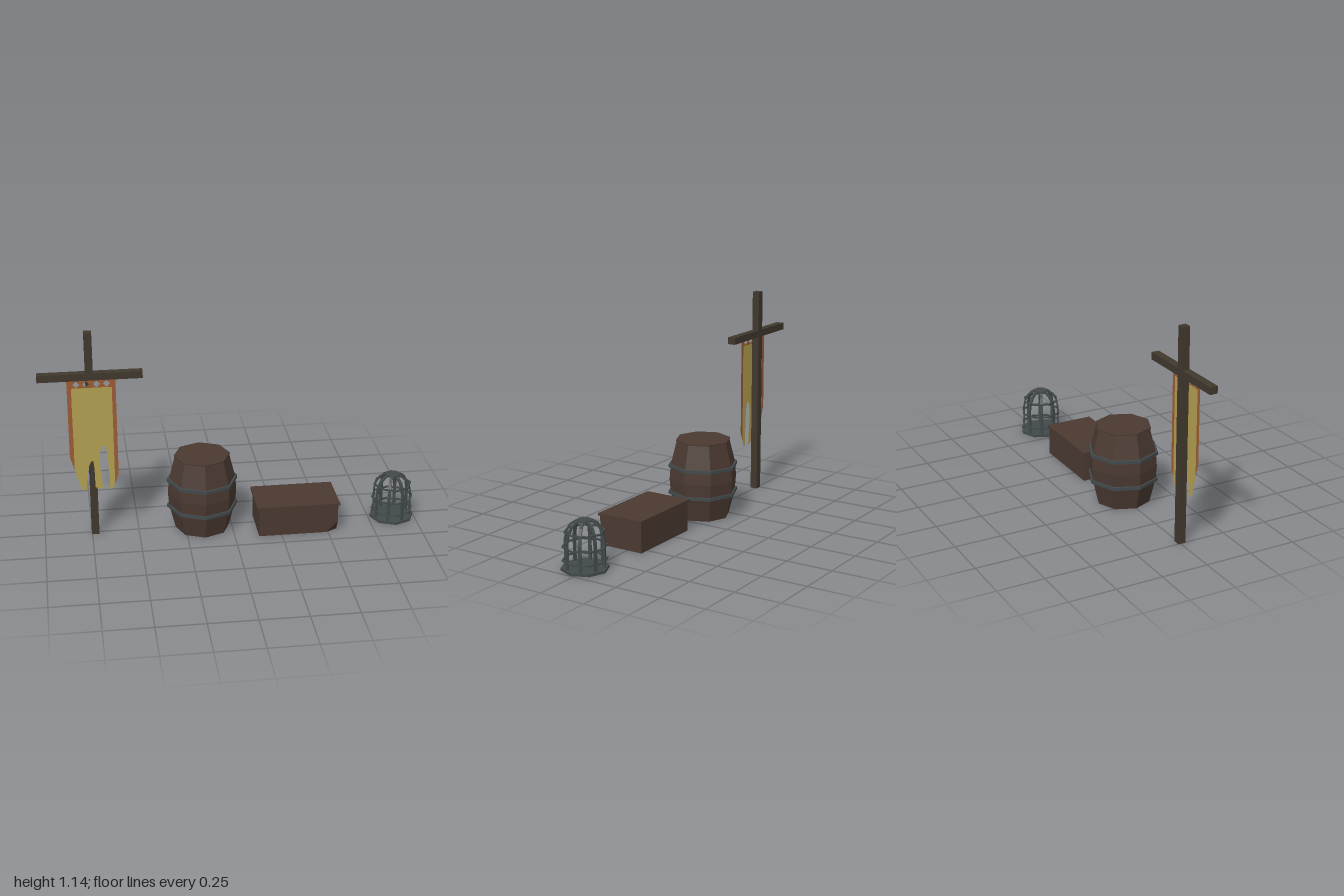
import * as THREE from 'three';
import { ConvexGeometry } from 'three/addons/geometries/ConvexGeometry.js';

const paint = (color, side = THREE.FrontSide) =>
  new THREE.MeshStandardMaterial({ color, side, flatShading: true });
const WOOD = paint(0x4a3931);
const POLE = paint(0x40382d);
const IRON = paint(0x42494b);
const GOLD = paint(0xb3a052, THREE.DoubleSide);
const TRIM = paint(0x9c5c34, THREE.DoubleSide);

function add(parent, name, geometry, material, x = 0, y = 0, z = 0) {
  const mesh = new THREE.Mesh(geometry, material);
  mesh.name = name;
  mesh.position.set(x, y, z);
  parent.add(mesh);
  return mesh;
}

function group(parent, name, x = 0, z = 0) {
  const g = new THREE.Group();
  g.name = name;
  g.position.set(x, 0, z);
  parent.add(g);
  return g;
}

const points = list => list.map(([x, y]) => new THREE.Vector2(x, y));
const lathe = profile => new THREE.LatheGeometry(points(profile), 8);

// Eight-sided hoop with a rectangular section
const hoop = (inner, outer, y0, y1) =>
  lathe([[outer, y0], [outer, y1], [inner, y1], [inner, y0], [outer, y0]]);

function buildBanner(root) {
  const g = group(root, 'bannerStand');
  add(g, 'pole', new THREE.BoxGeometry(0.04, 1.14, 0.04), POLE, -0.733, 0.57, 0.007);
  add(g, 'crossbar', new THREE.BoxGeometry(0.54, 0.038, 0.042), POLE, -0.73, 0.904, 0.01);

  // Cloth with two torn slots along the lower edge
  const cloth = new THREE.Shape();
  cloth.moveTo(-0.828, 0.845);
  cloth.lineTo(-0.828, 0.385);
  cloth.lineTo(-0.795, 0.27);
  cloth.lineTo(-0.77, 0.265);
  cloth.lineTo(-0.757, 0.39);
  cloth.quadraticCurveTo(-0.745, 0.435, -0.732, 0.432);
  cloth.quadraticCurveTo(-0.724, 0.425, -0.724, 0.28);
  cloth.lineTo(-0.684, 0.265);
  cloth.lineTo(-0.698, 0.43);
  cloth.quadraticCurveTo(-0.695, 0.515, -0.671, 0.517);
  cloth.quadraticCurveTo(-0.65, 0.51, -0.648, 0.265);
  cloth.lineTo(-0.632, 0.27);
  cloth.lineTo(-0.62, 0.3);
  cloth.lineTo(-0.62, 0.845);
  add(g, 'bannerCloth', new THREE.ShapeGeometry(cloth), GOLD, 0, 0, 0.0295);

  // Border with diamond eyelets
  const border = new THREE.Shape(points([
    [-0.85, 0.89], [-0.85, 0.46], [-0.828, 0.385], [-0.828, 0.845],
    [-0.62, 0.845], [-0.62, 0.3], [-0.6, 0.35], [-0.6, 0.89],
  ]));
  for (const x of [-0.802, -0.752, -0.698, -0.646]) {
    const r = 0.018;
    border.holes.push(new THREE.Path(points(
      [[x - r, 0.865], [x, 0.865 + r], [x + r, 0.865], [x, 0.865 - r]])));
  }
  add(g, 'bannerBorder', new THREE.ShapeGeometry(border), TRIM, 0, 0, 0.0295);
}

function buildBarrel(root) {
  const g = group(root, 'barrel', -0.157, 0);
  add(g, 'barrelBody', lathe([
    [0, 0], [0.145, 0], [0.178, 0.135], [0.184, 0.21], [0.178, 0.285],
    [0.145, 0.417], [0.149, 0.417], [0.149, 0.424], [0, 0.424],
  ]), WOOD);
  add(g, 'lowerBand', hoop(0.172, 0.189, 0.126, 0.143), IRON);
  add(g, 'upperBand', hoop(0.172, 0.189, 0.274, 0.291), IRON);
}

function buildChest(root) {
  const g = group(root, 'chest');
  // Box with its lower front corner chipped off
  const corners = [[0.49, 0, 0.168], [0.552, 0.06, 0.168], [0.552, 0, 0.135]];
  for (const x of [0.128, 0.552]) for (const y of [0, 0.16]) for (const z of [-0.085, 0.168]) {
    if (!(x > 0.5 && y === 0 && z > 0)) corners.push([x, y, z]);
  }
  add(g, 'chestBody', new ConvexGeometry(corners.map(c => new THREE.Vector3(...c))), WOOD);
  add(g, 'chestLid', new THREE.BoxGeometry(0.444, 0.013, 0.264), WOOD, 0.339, 0.163, 0.042);
}

function buildCage(root) {
  const g = group(root, 'cage', 0.879, 0.02);
  add(g, 'cageBase', lathe([[0, 0], [0.12, 0], [0.12, 0.014], [0, 0.014]]), IRON);

  // Flat bars bending inwards to the crown
  const bar = new THREE.ExtrudeGeometry(new THREE.Shape(points([
    [0.094, 0.008], [0.103, 0.008], [0.103, 0.15], [0.094, 0.195], [0.075, 0.228],
    [0.045, 0.248], [0.02, 0.252], [0.02, 0.244], [0.042, 0.24], [0.068, 0.221],
    [0.086, 0.19], [0.094, 0.15],
  ])), { depth: 0.016, bevelEnabled: false });
  bar.translate(0, 0, -0.008);
  for (let i = 0; i < 8; i++) {
    add(g, 'cageBar', bar, IRON).rotation.y = (i + 0.5) * Math.PI / 4;
  }

  // Hoops and crown plate
  for (const [y, r] of [[0.05, 0.114], [0.12, 0.114], [0.194, 0.103]]) {
    add(g, 'cageHoop', hoop(r - 0.009, r, y - 0.004, y + 0.004), IRON);
  }
  add(g, 'cageCrown', lathe([[0, 0.243], [0.04, 0.243], [0.04, 0.253], [0, 0.253]]), IRON);
}

export function createModel() {
  const root = new THREE.Group();
  root.name = 'dungeonProps';
  buildBanner(root);
  buildBarrel(root);
  buildChest(root);
  buildCage(root);
  return root;
}
